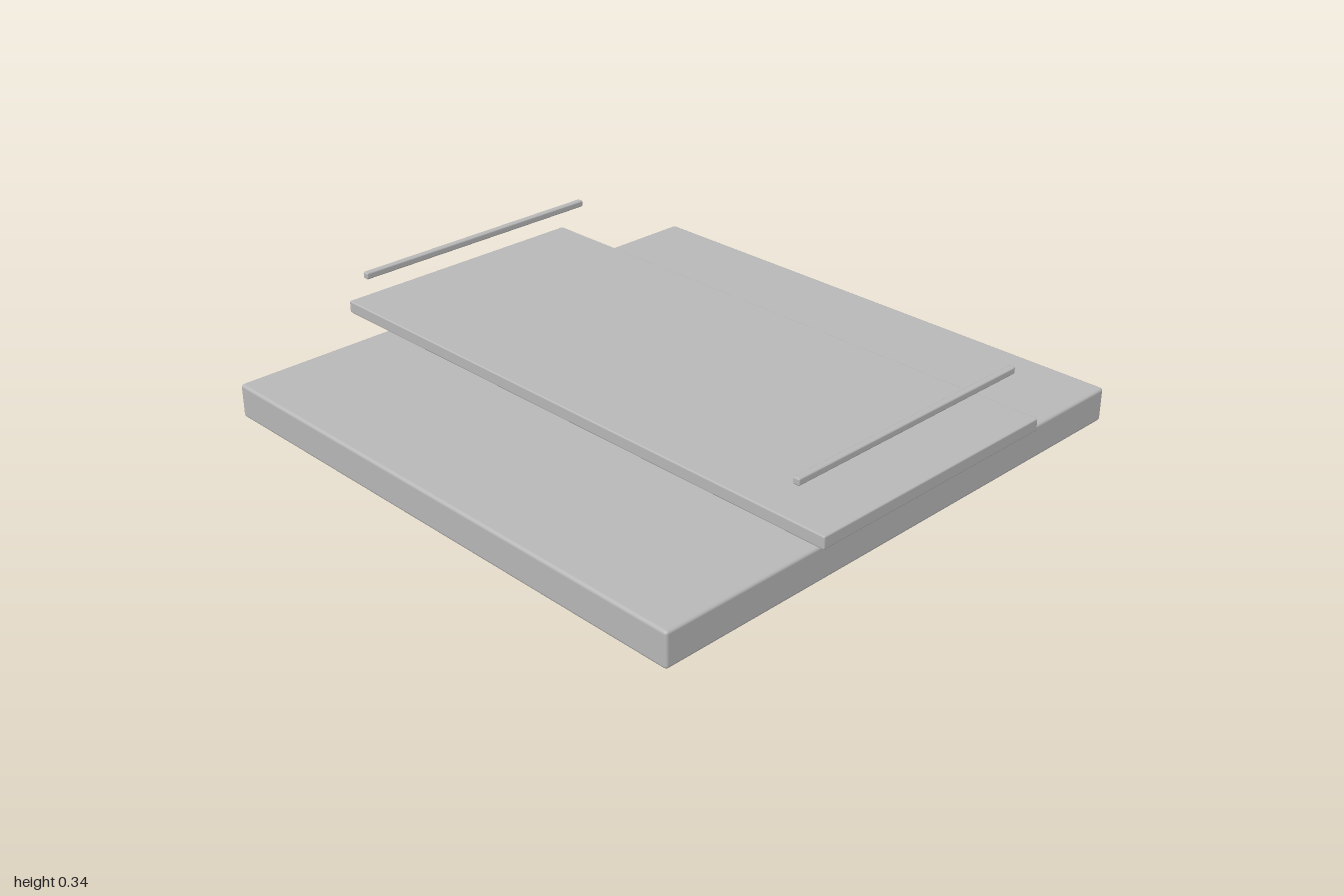
import * as THREE from 'three';
import { RoundedBoxGeometry } from 'three/addons/geometries/RoundedBoxGeometry.js';

export function createModel() {
  const model = new THREE.Group();
  const grey = new THREE.MeshStandardMaterial({ color: 0xb8b8b8 });
  grey.name = 'grey';

  // Softly bevelled slab standing on height y
  function slab(name, [w, h, d], bevel, x, y) {
    const mesh = new THREE.Mesh(new RoundedBoxGeometry(w, h, d, 2, bevel), grey);
    mesh.name = name;
    mesh.position.set(x, y + h / 2, 0);
    model.add(mesh);
  }

  // Thick square base
  slab('base', [1.834, 0.11, 1.834], 0.01, 0, 0);

  // Wide thin plate floating above the base
  slab('plate', [2, 0.04, 0.9], 0.005, 0, 0.171);

  // Slim rails above both ends of the plate
  for (const [name, side] of [['leftRail', 1], ['rightRail', -1]]) {
    slab(name, [0.022, 0.022, 0.9], 0.005, side * 0.9, 0.317);
  }

  return model;
}
